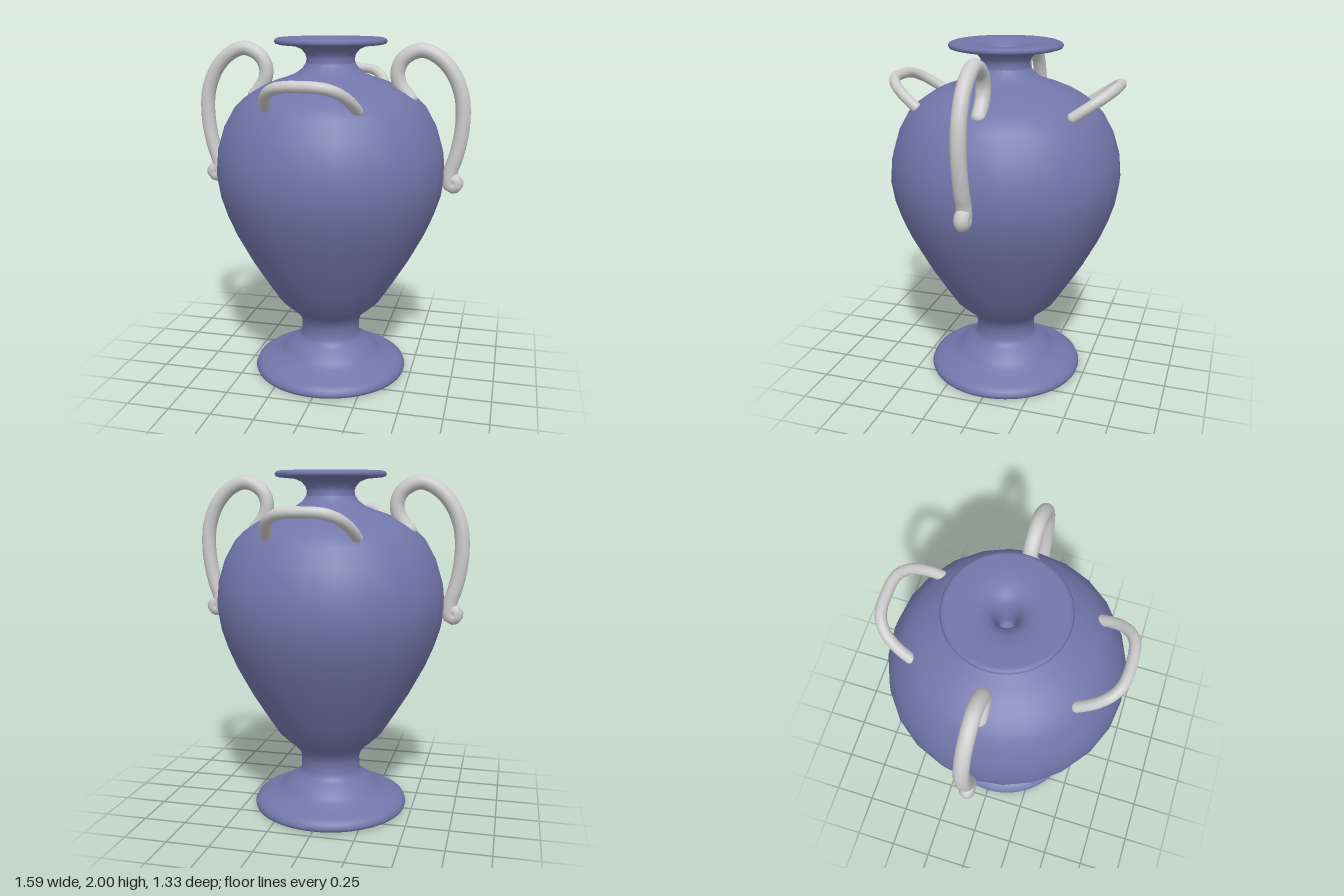
import * as THREE from 'three';

const blue = new THREE.MeshStandardMaterial({ color: 0x7276aa, side: THREE.DoubleSide });
const grey = new THREE.MeshStandardMaterial({ color: 0xcccccc });

// Turned part from [radius, height] pairs
function turned(name, profile, sides) {
  const points = profile.map(([r, y]) => new THREE.Vector2(r, y));
  const mesh = new THREE.Mesh(new THREE.LatheGeometry(points, sides), blue);
  mesh.name = name;
  return mesh;
}

// Round rod along a smooth path, with rounded ends
function rod(name, points, radius) {
  const group = new THREE.Group();
  group.name = name;
  const path = points.map((p) => new THREE.Vector3(...p));
  const curve = new THREE.CatmullRomCurve3(path, false, 'centripetal');
  const bar = new THREE.Mesh(new THREE.TubeGeometry(curve, 96, radius, 16), grey);
  bar.name = name + 'Bar';
  group.add(bar);
  for (const end of [path[0], path[path.length - 1]]) {
    const cap = new THREE.Mesh(new THREE.SphereGeometry(radius, 16, 12), grey);
    cap.name = name + 'End';
    cap.position.copy(end);
    group.add(cap);
  }
  return group;
}

export function createModel() {
  const vase = new THREE.Group();
  vase.name = 'vase';

  // Spreading foot with a closed underside
  vase.add(turned('foot', [
    [0, 0], [0.44, 0], [0.455, 0.008], [0.46, 0.025], [0.45, 0.05], [0.42, 0.07],
    [0.365, 0.087], [0.31, 0.108], [0.28, 0.135], [0.255, 0.165], [0.215, 0.19],
    [0.188, 0.212], [0.175, 0.24], [0.175, 0.28],
  ], 64));

  // Belly and shoulder
  vase.add(turned('body', [
    [0.174, 0.26], [0.175, 0.3], [0.184, 0.34], [0.215, 0.38], [0.262, 0.42], [0.31, 0.465],
    [0.39, 0.59], [0.47, 0.72], [0.56, 0.89], [0.61, 1.01], [0.645, 1.12],
    [0.664, 1.24], [0.652, 1.37], [0.612, 1.5], [0.55, 1.61], [0.5, 1.66],
    [0.44, 1.702], [0.38, 1.735], [0.32, 1.76], [0.25, 1.782], [0.2, 1.803],
    [0.16, 1.832], [0.138, 1.865],
  ], 24));

  // Neck, flared lip and the narrow opening
  vase.add(turned('neckAndLip', [
    [0.142, 1.85], [0.136, 1.885], [0.143, 1.91], [0.165, 1.937], [0.205, 1.954],
    [0.29, 1.962], [0.312, 1.968], [0.319, 1.98], [0.312, 1.993], [0.295, 2],
    [0.2, 1.994], [0.13, 1.985], [0.09, 1.965], [0.065, 1.93], [0.048, 1.88],
    [0.04, 1.8], [0.04, 1.75], [0, 1.75],
  ], 64));

  // Tall side handles, curled at the lower end
  for (const s of [1, -1]) {
    const points = [
      [0.455, 1.67], [0.425, 1.705], [0.393, 1.755], [0.383, 1.82], [0.415, 1.89],
      [0.51, 1.936], [0.6, 1.905], [0.685, 1.82], [0.738, 1.7], [0.752, 1.58],
      [0.742, 1.45], [0.718, 1.34], [0.695, 1.27], [0.69, 1.215], [0.7, 1.183],
      [0.725, 1.186], [0.73, 1.21], [0.71, 1.225],
    ].map(([x, y]) => [s * x, y, 0]);
    vase.add(rod(s > 0 ? 'leftHandle' : 'rightHandle', points, 0.041));
  }

  // Small arched handles, leaning outward at the front and back
  const half = [[0.247, 0], [0.235, 0.25], [0.215, 0.5], [0.18, 0.75], [0.13, 0.92], [0.07, 0.99]];
  const arch = [
    ...half.map(([x, t]) => [-x, t]), [0, 1],
    ...half.slice().reverse(),
  ];
  for (const s of [1, -1]) {
    const points = arch.map(([x, t]) => [x, 1.65 + 0.137 * t, s * (0.44 + 0.197 * t)]);
    vase.add(rod(s > 0 ? 'frontHandle' : 'backHandle', points, 0.03));
  }
  return vase;
}
